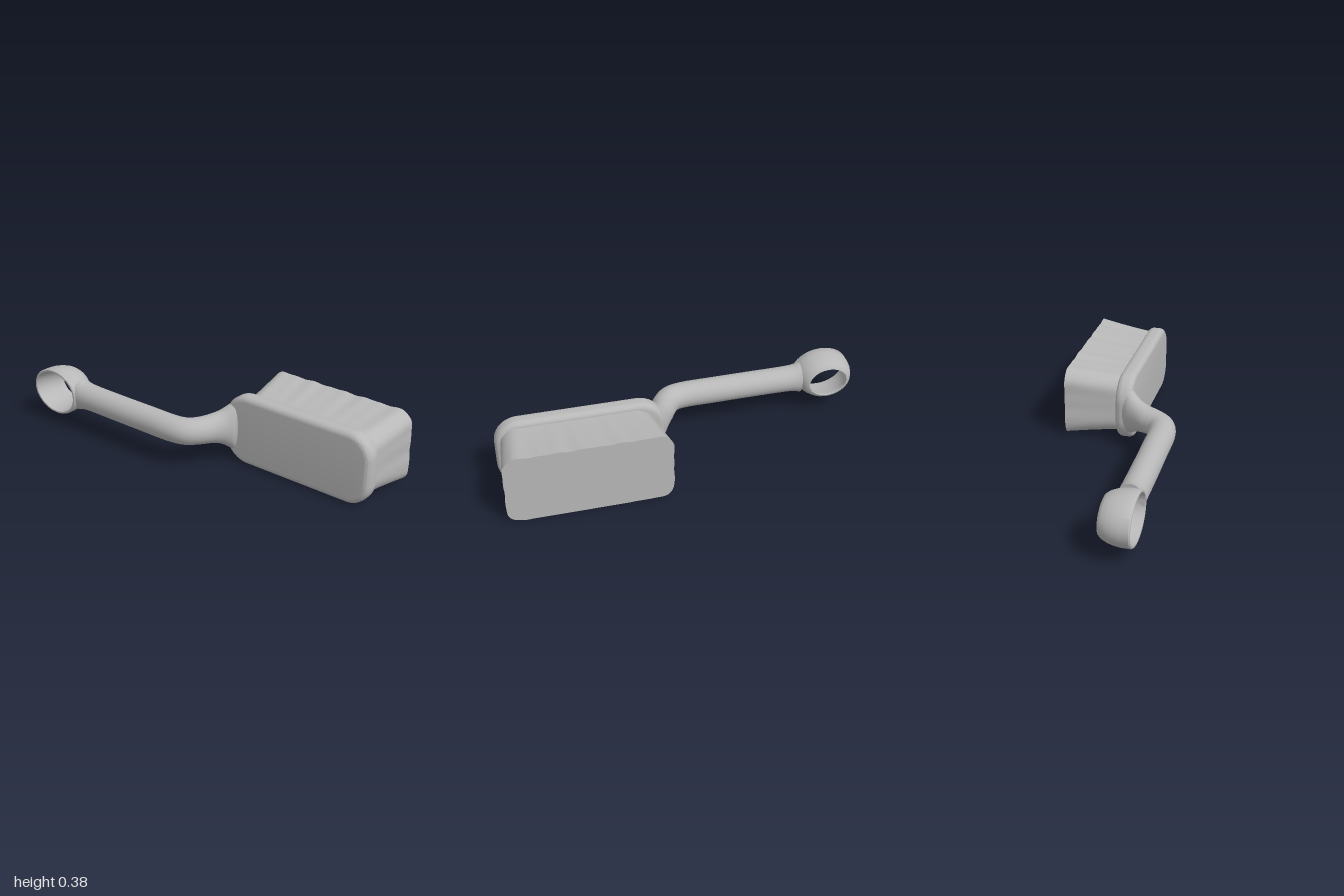
import * as THREE from 'three';
import { toCreasedNormals } from 'three/addons/utils/BufferGeometryUtils.js';

const MID_Y = 0.19;

// Skins a list of closed rings and caps both ends.
function loft(rings, crease) {
  const n = rings[0].length, pos = [], idx = [];
  rings.forEach(r => r.forEach(p => pos.push(p.x, p.y, p.z)));
  for (let i = 0; i < rings.length - 1; i++) {
    for (let j = 0; j < n; j++) {
      const a = i * n + j, b = i * n + (j + 1) % n;
      idx.push(a, b, a + n, b, b + n, a + n);
    }
  }
  const last = (rings.length - 1) * n;
  for (let j = 1; j < n - 1; j++) {
    idx.push(0, j + 1, j);
    idx.push(last, last + j, last + j + 1);
  }
  const g = new THREE.BufferGeometry();
  g.setAttribute('position', new THREE.Float32BufferAttribute(pos, 3));
  g.setIndex(idx);
  return toCreasedNormals(g, crease);
}

// Rounded rectangle outline with separate corner radii at each end.
function plateShape(x0, x1, y0, y1, rl, rr) {
  const s = new THREE.Shape();
  s.absarc(x1 - rr, y0 + rr, rr, -Math.PI / 2, 0);
  s.absarc(x1 - rr, y1 - rr, rr, 0, Math.PI / 2);
  s.absarc(x0 + rl, y1 - rl, rl, Math.PI / 2, Math.PI);
  s.absarc(x0 + rl, y0 + rl, rl, Math.PI, Math.PI * 1.5);
  s.closePath();
  return s;
}

// Flat head with softly rounded edges.
function headGeometry() {
  const g = new THREE.ExtrudeGeometry(plateShape(0.125, 0.992, 0.004, 0.376, 0.14, 0.125), {
    depth: 0.03, bevelThickness: 0.03, bevelSize: 0.028, bevelOffset: -0.028,
    bevelSegments: 6, curveSegments: 14,
  });
  g.translate(0, 0, -0.015);
  return toCreasedNormals(g, 0.7);
}

// Bent handle: x, z, turn in degrees, half thickness, half height.
function handleGeometry() {
  const stations = [
    [-0.70, 0.255, 0, 0.068, 0.088], [-0.63, 0.255, 0, 0.069, 0.072],
    [-0.40, 0.255, 0, 0.069, 0.070], [-0.20, 0.253, 0, 0.069, 0.070],
    [-0.05, 0.251, 3, 0.070, 0.069], [0.03, 0.232, 28, 0.070, 0.069],
    [0.075, 0.185, 55, 0.068, 0.070], [0.105, 0.130, 65, 0.064, 0.076],
    [0.133, 0.080, 64, 0.058, 0.092], [0.163, 0.035, 50, 0.055, 0.125],
    [0.205, 0.004, 18, 0.042, 0.150], [0.28, 0, 0, 0.038, 0.160],
  ];
  const path = new THREE.CatmullRomCurve3(
    stations.map(s => new THREE.Vector3(s[0], s[1], s[2])), false, 'catmullrom', 0.5);
  const size = new THREE.CatmullRomCurve3(
    stations.map(s => new THREE.Vector3(s[3], s[4], 0)), false, 'catmullrom', 0.5);
  const rings = [], steps = 55, sides = 28;
  for (let i = 0; i <= steps; i++) {
    const p = path.getPoint(i / steps), h = size.getPoint(i / steps);
    const turn = THREE.MathUtils.degToRad(p.z);
    const ring = [];
    for (let j = 0; j < sides; j++) {
      const a = j / sides * Math.PI * 2, w = Math.cos(a) * h.x;
      ring.push(new THREE.Vector3(
        p.x - Math.sin(turn) * w, MID_Y + Math.sin(a) * h.y, p.y - Math.cos(turn) * w));
    }
    rings.push(ring);
  }
  return loft(rings, 1);
}

// Domed hanging eye: a thin bowl with an oval opening through its back.
function eyeGeometry() {
  const outer = [[0.965, 0.328], [1, 0.322], [1, 0.28], [0.975, 0.245], [0.92, 0.215],
    [0.83, 0.185], [0.73, 0.168], [0.66, 0.165]];
  const inner = [[0.65, 0.172], [0.72, 0.20], [0.80, 0.24], [0.865, 0.285], [0.9, 0.328]];
  const pts = [...outer, ...inner, outer[0]].map(p => new THREE.Vector2(p[0], p[1])).reverse();
  const g = new THREE.LatheGeometry(pts, 48);
  g.rotateX(Math.PI / 2);
  g.scale(0.16, 0.125, 1);
  g.translate(-0.84, MID_Y - 0.003, 0);
  return toCreasedNormals(g, 0.7);
}

// Flared bristle block whose flutes grow toward the tips.
function bristleGeometry() {
  const rings = [], steps = 8;
  for (let i = 0; i <= steps; i++) {
    const t = i / steps, flare = Math.pow(t, 1.4);
    const hx = 0.385 + 0.033 * t, hy = 0.16 + 0.028 * flare;
    const cx = 0.58 - 0.01 * t, cy = 0.188 + 0.006 * t;
    const pts = plateShape(-hx, hx, -hy, hy, 0.085 - 0.02 * t, 0.085 - 0.02 * t)
      .getSpacedPoints(140).slice(0, -1).reverse();
    rings.push(pts.map((p, j) => {
      const u = j / pts.length * Math.PI * 2;
      const wave = 1 + 0.004 * (0.3 + t) * (Math.sin(u * 23) + Math.sin(u * 14 + 1));
      return new THREE.Vector3(
        cx + p.x * (1 + (wave - 1) * 0.5), cy + p.y * (1 + (wave - 1) * 1.8), -0.03 - 0.3 * t);
    }));
  }
  return loft(rings, 0.8);
}

export function createModel() {
  const model = new THREE.Group();
  model.name = 'brush';
  const grey = new THREE.MeshStandardMaterial({ color: 0xb8b8b8 });
  grey.name = 'plain grey';
  const parts = {
    head: headGeometry(), handle: handleGeometry(),
    hangingEye: eyeGeometry(), bristles: bristleGeometry(),
  };
  for (const [name, geometry] of Object.entries(parts)) {
    const mesh = new THREE.Mesh(geometry, grey);
    mesh.name = name;
    model.add(mesh);
  }
  return model;
}
